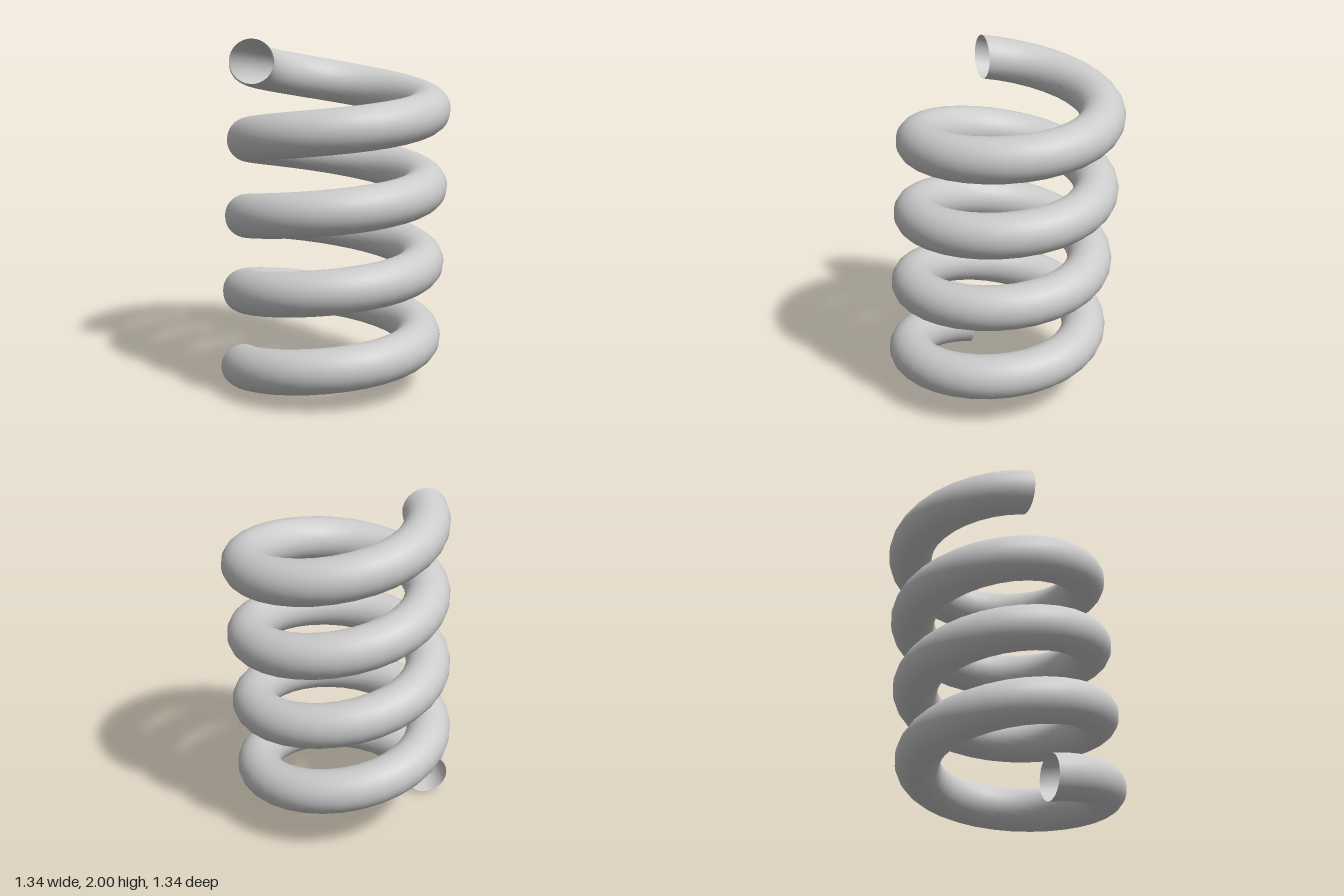
import * as THREE from 'three';
import { ParametricGeometry } from 'three/addons/geometries/ParametricGeometry.js';

const TURNS = 4;
const COIL_RADIUS = 0.508;
const WIRE_RADIUS = 0.127;
const PHASE = -0.02;

// Slightly leaning axis of the coil, and two directions square to it
const base = new THREE.Vector3(-0.038, 0.103, 0.04);
const rise = new THREE.Vector3(0.08, 1.746, -0.08);
const axis = rise.clone().normalize();
const side = new THREE.Vector3(1, 0, 0).addScaledVector(axis, -axis.x).normalize();
const front = new THREE.Vector3().crossVectors(side, axis);

// u runs along the coil, v around the wire; the wire's circle lies in the plane of the axis
function coilPoint(u, v, target) {
  const turn = u * TURNS * Math.PI * 2 + PHASE;
  const around = v * Math.PI * 2;
  const r = COIL_RADIUS + WIRE_RADIUS * Math.cos(around);
  target.copy(base)
    .addScaledVector(rise, u)
    .addScaledVector(side, -Math.cos(turn) * r)
    .addScaledVector(front, Math.sin(turn) * r)
    .addScaledVector(axis, WIRE_RADIUS * Math.sin(around));
}

export function createModel() {
  const group = new THREE.Group();
  group.name = 'coilSpring';

  // Hollow wire, open at both ends
  const coil = new THREE.Mesh(
    new ParametricGeometry(coilPoint, TURNS * 32, 32),
    new THREE.MeshStandardMaterial({ color: 0xcccccc, side: THREE.DoubleSide })
  );
  coil.name = 'coil';
  group.add(coil);

  return group;
}
